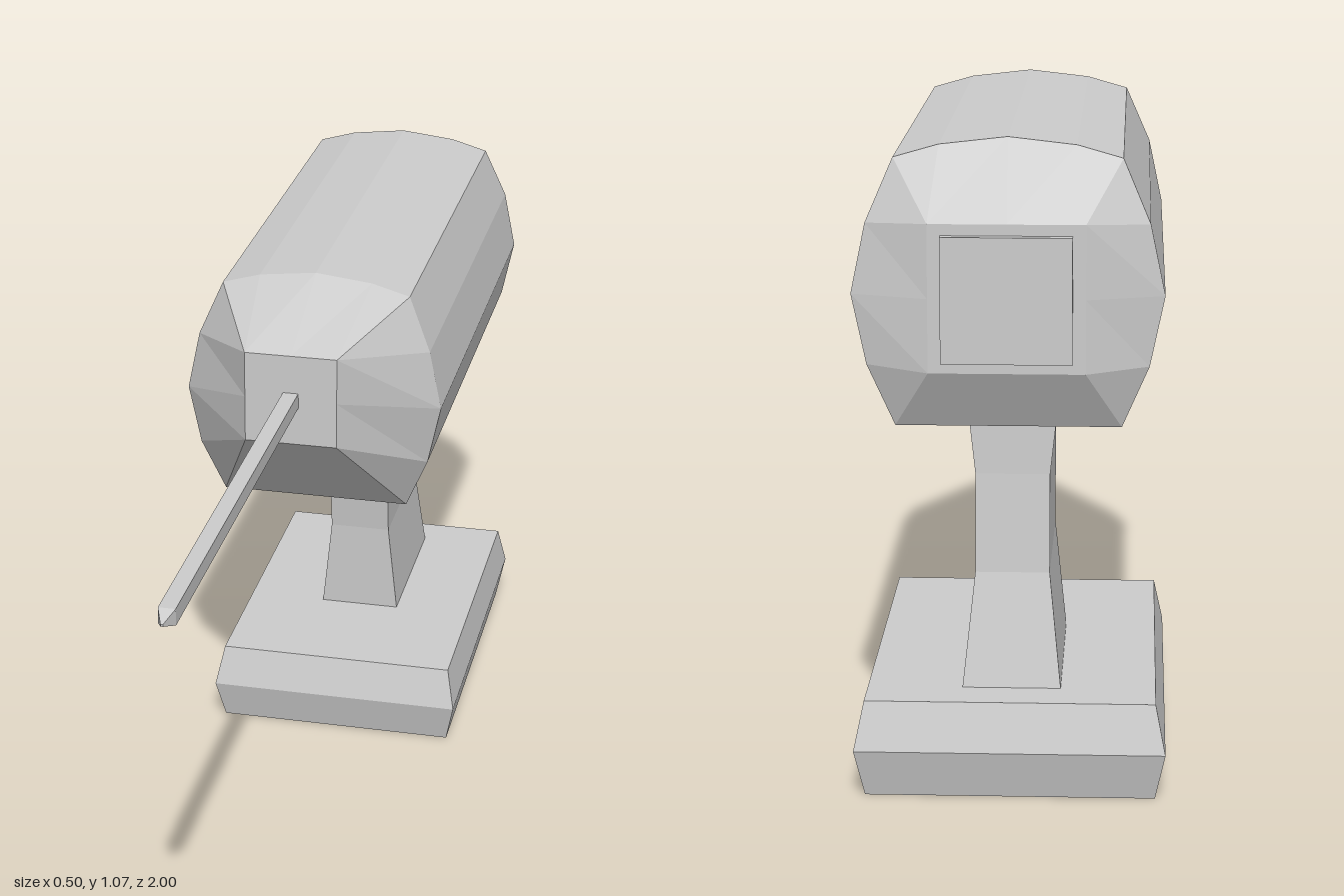
import * as THREE from 'three';

const material = new THREE.MeshStandardMaterial({ color: 0xcccccc, flatShading: true });

// Skin a closed solid over rings of [x, y, z] points (counter-clockwise seen from the last ring)
function loft(name, rings) {
  const pos = [];
  const tri = (a, b, c) => {
    const [A, B, C] = [a, b, c].map((p) => new THREE.Vector3(...p));
    if (B.clone().sub(A).cross(C.clone().sub(A)).length() > 1e-8) pos.push(...a, ...b, ...c);
  };
  const n = rings[0].length;
  for (let r = 0; r < rings.length - 1; r++) {
    const a = rings[r], b = rings[r + 1];
    for (let i = 0; i < n; i++) {
      const j = (i + 1) % n;
      tri(a[i], a[j], b[j]);
      tri(a[i], b[j], b[i]);
    }
  }
  const centre = (ring) => [0, 1, 2].map((k) => ring.reduce((s, p) => s + p[k], 0) / n);
  const first = rings[0], last = rings[rings.length - 1];
  for (let i = 0; i < n; i++) {
    const j = (i + 1) % n;
    tri(centre(first), first[j], first[i]);
    tri(centre(last), last[i], last[j]);
  }
  const geometry = new THREE.BufferGeometry();
  geometry.setAttribute('position', new THREE.Float32BufferAttribute(pos, 3));
  geometry.computeVertexNormals();
  const mesh = new THREE.Mesh(geometry, material);
  mesh.name = name;
  return mesh;
}

// Right half of a section, bottom centre to top centre, mirrored to a full ring
const mirrorRing = (half) => [
  ...half,
  ...half.slice(1, -1).reverse().map(([x, y, z]) => [-x, y, z]),
];

// Horizontal rectangle at height y
const slab = (y, hx, zBack, zFront) => [
  [hx, y, zFront], [hx, y, zBack], [-hx, y, zBack], [-hx, y, zFront],
];

// Upright square section of the bit
const square = (z, h, y = 0.9) => [
  [h, y - h, z], [h, y + h, z], [-h, y + h, z], [-h, y - h, z],
];

export function createModel() {
  const group = new THREE.Group();
  group.name = 'cordlessDrill';

  // Motor housing: barrel section, its ends bowed outward along the sides
  const section = [
    [0, 0.615], [0.105, 0.615], [0.175, 0.615], [0.217, 0.715], [0.24, 0.825],
    [0.217, 0.935], [0.175, 1.033], [0.105, 1.053], [0, 1.065],
  ];
  const barrel = (zEdge, zSide) => mirrorRing(
    section.map(([x, y], i) => [x, y, i > 2 && i < 6 ? zSide : zEdge]));

  // Smaller rectangular end: the three points of each rounded corner meet in one
  const endFace = (hx, y0, y1, z) => {
    const low = [hx, y0, z], high = [hx, y1, z];
    return mirrorRing([
      [0, y0, z], low, low, low, [hx, (y0 + y1) / 2, z], high, high, high, [0, y1, z],
    ]);
  };
  group.add(loft('motorHousing', [
    endFace(0.12, 0.71, 0.94, -0.985),
    barrel(-0.93, -0.947),
    barrel(-0.073, -0.056),
    endFace(0.084, 0.815, 0.985, 0.135),
  ]));

  // Raised plate on the back
  const plate = new THREE.Mesh(new THREE.BoxGeometry(0.2, 0.195, 0.03), material);
  plate.position.set(0, 0.825, -0.985);
  plate.name = 'rearPlate';
  group.add(plate);

  // Drill bit with a pointed tip
  group.add(loft('drillBit', [square(0.12, 0.014), square(0.97, 0.014), square(1, 0.002)]));

  // Waisted grip
  group.add(loft('grip', [
    slab(0.15, 0.08, -0.847, -0.51),
    slab(0.34, 0.06, -0.805, -0.505),
    slab(0.5, 0.06, -0.79, -0.485),
    slab(0.625, 0.074, -0.785, -0.458),
  ]));

  // Battery foot, widest at mid height
  group.add(loft('batteryFoot', [
    slab(0, 0.232, -0.915, -0.265),
    slab(0.08, 0.248, -0.936, -0.244),
    slab(0.158, 0.232, -0.915, -0.265),
  ]));

  return group;
}
